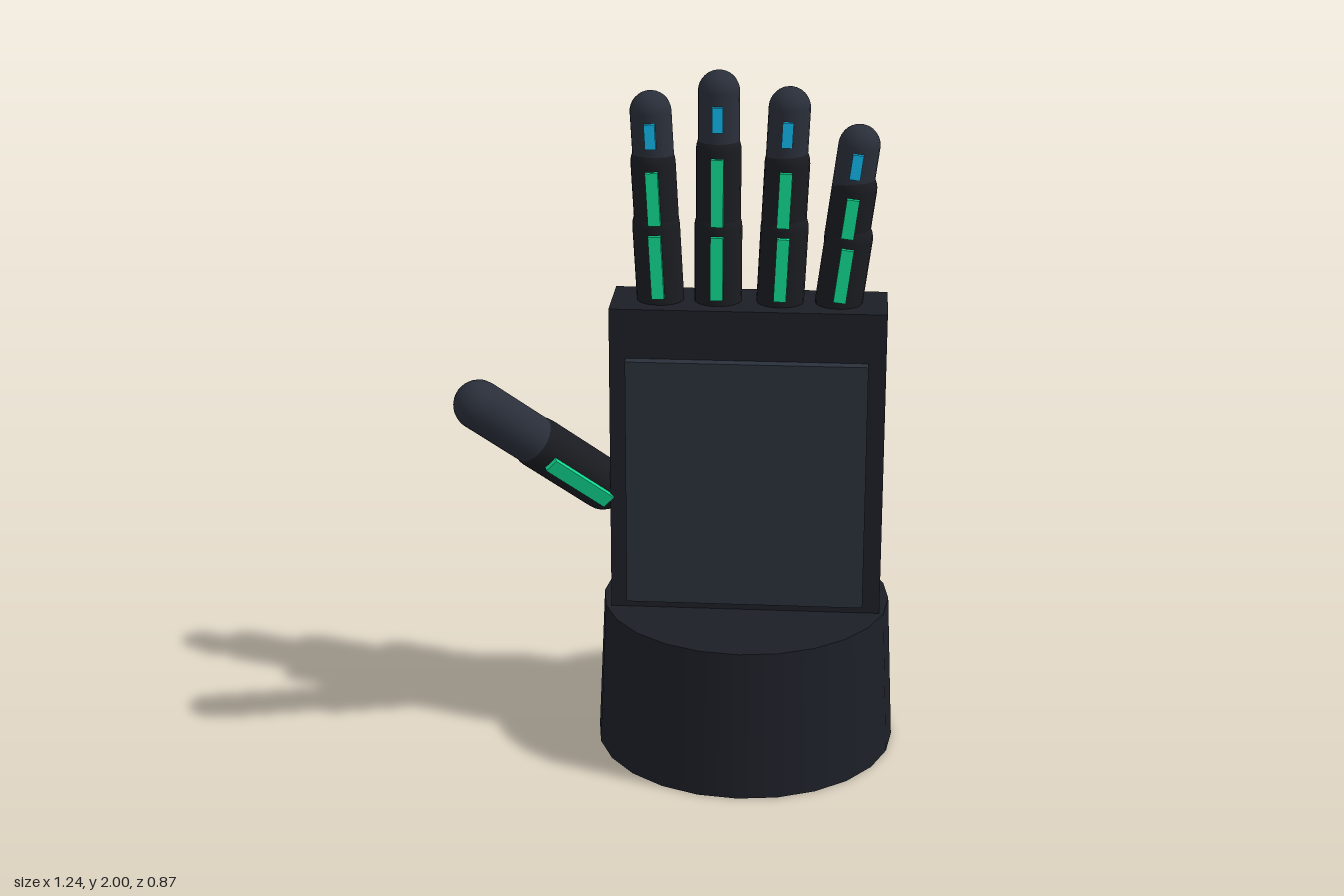
import * as THREE from 'three';

const mat = (color) => new THREE.MeshStandardMaterial({ color });

export function createModel() {
  const hand = new THREE.Group();
  hand.name = 'roboticHand';
  const shell = mat(0x1c1f27), joint = mat(0x1a1c21), plate = mat(0x2a313b);
  const tip = mat(0x2a2f3a), green = mat(0x10d890), blue = mat(0x10b4e8);

  function add(parent, name, geometry, material, x = 0, y = 0, z = 0) {
    const mesh = new THREE.Mesh(geometry, material);
    mesh.name = name;
    mesh.position.set(x, y, z);
    parent.add(mesh);
    return mesh;
  }

  // Capsule between two points with an optional light strip on its front side
  function segment(parent, name, a, b, radius, material, strip) {
    const group = new THREE.Group();
    group.name = name;
    const dir = b.clone().sub(a);
    const length = dir.length();
    dir.normalize();
    const side = new THREE.Vector3().crossVectors(dir, new THREE.Vector3(0, 0, 1)).normalize();
    const front = new THREE.Vector3().crossVectors(side, dir);
    group.quaternion.setFromRotationMatrix(new THREE.Matrix4().makeBasis(side, dir, front));
    group.position.copy(a).add(b).multiplyScalar(0.5);
    add(group, 'segmentBody', new THREE.CapsuleGeometry(radius, length, 8, 20), material);
    if (strip) {
      add(group, 'lightStrip', new THREE.BoxGeometry(strip.w, strip.l, 0.026), strip.material,
        0, strip.y || 0, radius + 0.001);
    }
    parent.add(group);
  }

  // Wrist cuff, palm block and raised palm plate
  add(hand, 'wristCuff', new THREE.CylinderGeometry(0.417, 0.437, 0.44, 24), shell, 0.18, 0.22, 0);
  add(hand, 'palm', new THREE.BoxGeometry(0.777, 0.905, 0.22), shell, 0.182, 0.891, 0);
  add(hand, 'palmPlate', new THREE.BoxGeometry(0.68, 0.73, 0.035), plate, 0.181, 0.835, 0.126);

  // Fingers: base x, slope of the finger line, tilt of each segment, joint heights
  const fingers = [
    ['indexFinger', -0.071, -0.045, -0.055, [1.35, 1.56, 1.74, 1.882]],
    ['middleFinger', 0.093, 0, 0, [1.35, 1.56, 1.78, 1.942]],
    ['ringFinger', 0.27, 0.03, 0.045, [1.35, 1.56, 1.745, 1.899]],
    ['littleFinger', 0.437, 0.092, 0.13, [1.35, 1.533, 1.675, 1.797]],
  ];
  const parts = [
    ['lowerSegment', 0.067, joint],
    ['middleSegment', 0.063, joint],
    ['fingertip', 0.058, tip],
  ];
  for (const [name, x, slope, tilt, ys] of fingers) {
    const finger = new THREE.Group();
    finger.name = name;
    parts.forEach(([part, radius, material], i) => {
      const mid = (ys[i] + ys[i + 1]) / 2, half = (ys[i + 1] - ys[i]) / 2;
      const cx = x + slope * (mid - 1.35);
      const strip = i < 2
        ? { w: 0.035, l: half * 2 - 0.03, material: green }
        : { w: 0.03, l: 0.07, y: 0.014, material: blue };
      segment(finger, part,
        new THREE.Vector3(cx - tilt * half, ys[i], 0),
        new THREE.Vector3(cx + tilt * half, ys[i + 1], 0), radius, material, strip);
    });
    hand.add(finger);
  }

  // Thumb, reaching outward and forward
  const thumb = new THREE.Group();
  thumb.name = 'thumb';
  const root = new THREE.Vector3(-0.235, 0.79, 0.035);
  const end = new THREE.Vector3(-0.555, 1.103, 0.258);
  const knuckle = root.clone().lerp(end, 0.53);
  segment(thumb, 'thumbBase', root, knuckle, 0.075, joint,
    { w: 0.042, l: 0.235, y: -0.01, material: green });
  segment(thumb, 'thumbTip', knuckle, end, 0.071, tip);
  hand.add(thumb);

  return hand;
}
